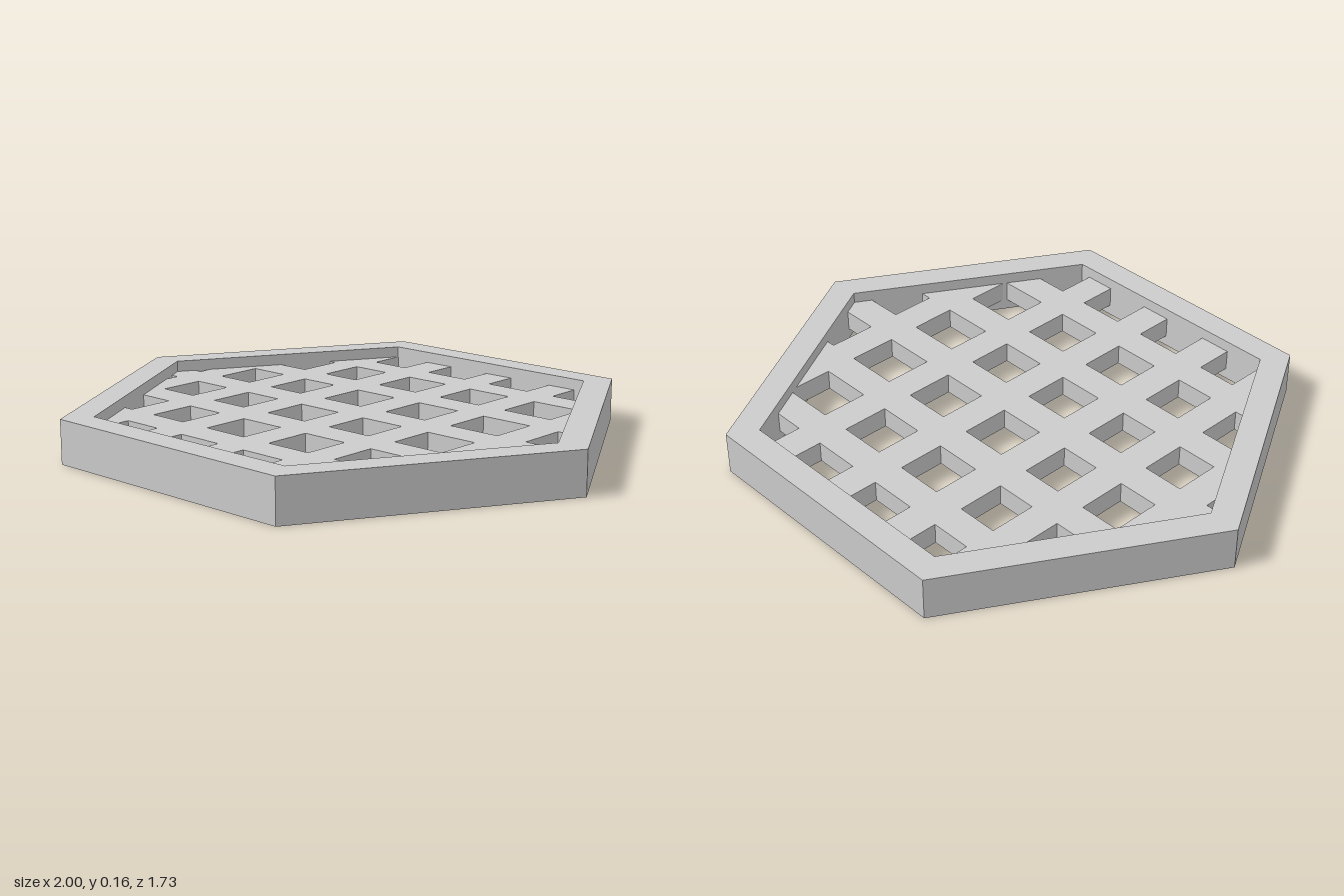
import * as THREE from 'three';

const HEIGHT = 0.155;
const INNER = 0.887;              // corner radius of the frame opening
const GRID_BOTTOM = 0.04, GRID_TOP = 0.115;

// Clear gaps between the bars of the grid
const GAPS_X = [[-1, -0.823], [-0.706, -0.556], [-0.442, -0.294], [-0.174, 0],
  [0.116, 0.29], [0.404, 0.6], [0.716, 1]];
const GAPS_Z = [[-1, -0.636], [-0.524, -0.353], [-0.237, -0.06], [0.058, 0.225],
  [0.34, 0.51], [0.624, 1]];

// Hexagon with two corners on the x axis
function hexagon(radius) {
  return Array.from({ length: 6 }, (_, i) => {
    const a = i * Math.PI / 3;
    return new THREE.Vector2(radius * Math.cos(a), radius * Math.sin(a));
  });
}

// Cut a convex polygon down to the part inside a hexagon
function clipToHexagon(points, radius) {
  const apothem = radius * Math.cos(Math.PI / 6);
  for (let i = 0; i < 6; i++) {
    const a = (i + 0.5) * Math.PI / 3;
    const normal = new THREE.Vector2(Math.cos(a), Math.sin(a));
    const result = [];
    points.forEach((p, k) => {
      const q = points[(k + 1) % points.length];
      const dp = p.dot(normal) - apothem, dq = q.dot(normal) - apothem;
      if (dp <= 0) result.push(p);
      if (dp * dq < 0) result.push(p.clone().lerp(q, dp / (dp - dq)));
    });
    points = result;
  }
  return points;
}

// Plate lying in the xz plane between two heights
function plate(name, outline, holes, bottom, top, material) {
  const shape = new THREE.Shape(outline);
  shape.holes = holes.map((h) => new THREE.Path(h));
  const geometry = new THREE.ExtrudeGeometry(shape, { depth: top - bottom, bevelEnabled: false });
  geometry.rotateX(Math.PI / 2).translate(0, top, 0);
  const mesh = new THREE.Mesh(geometry, material);
  mesh.name = name;
  return mesh;
}

export function createModel() {
  const group = new THREE.Group();
  group.name = 'hexagonalGrate';
  const material = new THREE.MeshStandardMaterial({ color: 0xcccccc, flatShading: true });

  // Outer rim
  group.add(plate('frame', hexagon(1), [hexagon(INNER)], 0, HEIGHT, material));

  // Recessed grid; its edge and cut holes end hidden inside the rim
  const holes = [];
  for (const [x0, x1] of GAPS_X) {
    for (const [z0, z1] of GAPS_Z) {
      const cell = [[x0, z0], [x1, z0], [x1, z1], [x0, z1]].map((c) => new THREE.Vector2(...c));
      const hole = clipToHexagon(cell, INNER + 0.01);
      if (hole.length > 2) holes.push(hole);
    }
  }
  group.add(plate('grid', hexagon(INNER + 0.06), holes, GRID_BOTTOM, GRID_TOP, material));

  return group;
}
